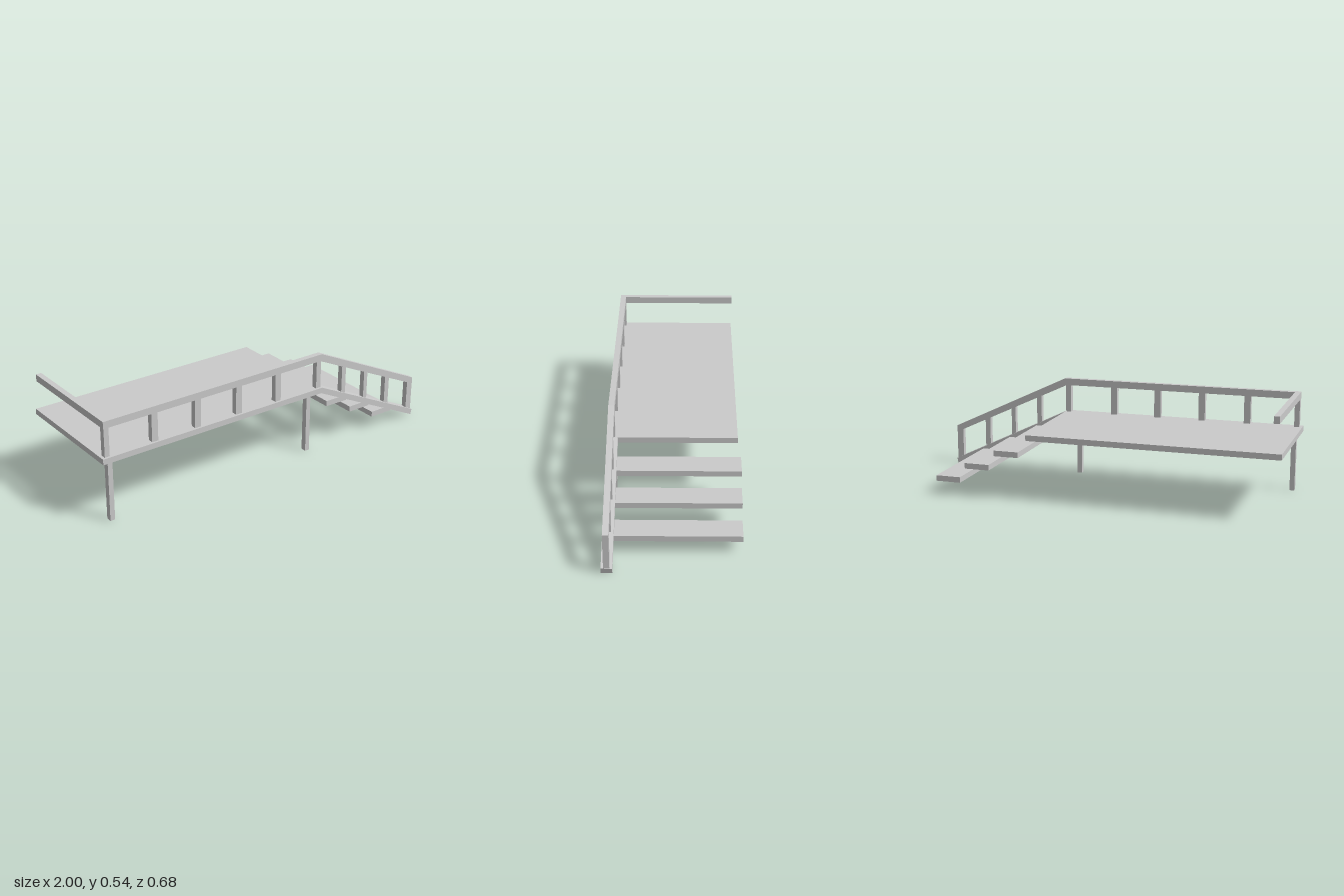
import * as THREE from 'three';

export function createModel() {
  const model = new THREE.Group();
  const material = new THREE.MeshStandardMaterial({ color: 0xcccccc, flatShading: true });

  const add = (name, geometry) => {
    const mesh = new THREE.Mesh(geometry, material);
    mesh.name = name;
    model.add(mesh);
  };

  // Box given by its limits on each axis
  const box = (name, [x0, x1], [y0, y1], [z0, z1]) => add(name,
    new THREE.BoxGeometry(x1 - x0, y1 - y0, z1 - z0)
      .translate((x0 + x1) / 2, (y0 + y1) / 2, (z0 + z1) / 2));

  // Outline in x and y, extruded between two z limits
  const slab = (name, points, [z0, z1]) => add(name,
    new THREE.ExtrudeGeometry(
      new THREE.Shape(points.map(([x, y]) => new THREE.Vector2(x, y))),
      { depth: z1 - z0, bevelEnabled: false }).translate(0, 0, z0));

  const railZ = [0.298, 0.328];

  // Deck and its two front legs
  box('deck', [-1, 0.328], [0.32, 0.35], [-0.323, 0.34]);
  for (const x of [-0.957, 0.247]) box('leg', [x - 0.013, x + 0.013], [0, 0.32], railZ);

  // Sloping stringer and floating treads
  slab('stairStringer',
    [[0.322, 0.32], [0.99, 0], [0.997, 0.03], [0.328, 0.35]], [0.285, 0.34]);
  for (let i = 0; i < 3; i++) {
    const x = 0.365 + i * 0.165, y = 0.23 - i * 0.08;
    box('stairTread', [x, x + 0.135], [y, y + 0.03], [-0.34, 0.338]);
  }

  // Handrail: level run, sloping run and side return
  slab('handrail', [[-0.985, 0.5], [0.32, 0.5], [0.997, 0.185], [0.997, 0.222],
    [0.33, 0.537], [-0.985, 0.537]], railZ);
  box('sideHandrail', [-0.985, -0.955], [0.5, 0.537], [-0.323, 0.298]);

  // Balusters along the deck
  for (const [x, w] of [[-0.97, 0.027], [-0.703, 0.035], [-0.453, 0.035],
    [-0.204, 0.035], [0.044, 0.035], [0.311, 0.029]]) {
    box('deckBaluster', [x - w / 2, x + w / 2], [0.35, 0.5], railZ);
  }

  // Balusters along the stairs, cut to both slopes
  const bottom = x => 0.35 - (x - 0.328) * 0.478 - 0.006;
  const top = x => 0.5 - (x - 0.32) * 0.465 + 0.006;
  for (const [x0, x1] of [[0.473, 0.5], [0.632, 0.656], [0.789, 0.818], [0.96, 0.996]]) {
    slab('stairBaluster',
      [[x0, bottom(x0)], [x1, bottom(x1)], [x1, top(x1)], [x0, top(x0)]], railZ);
  }

  return model;
}
